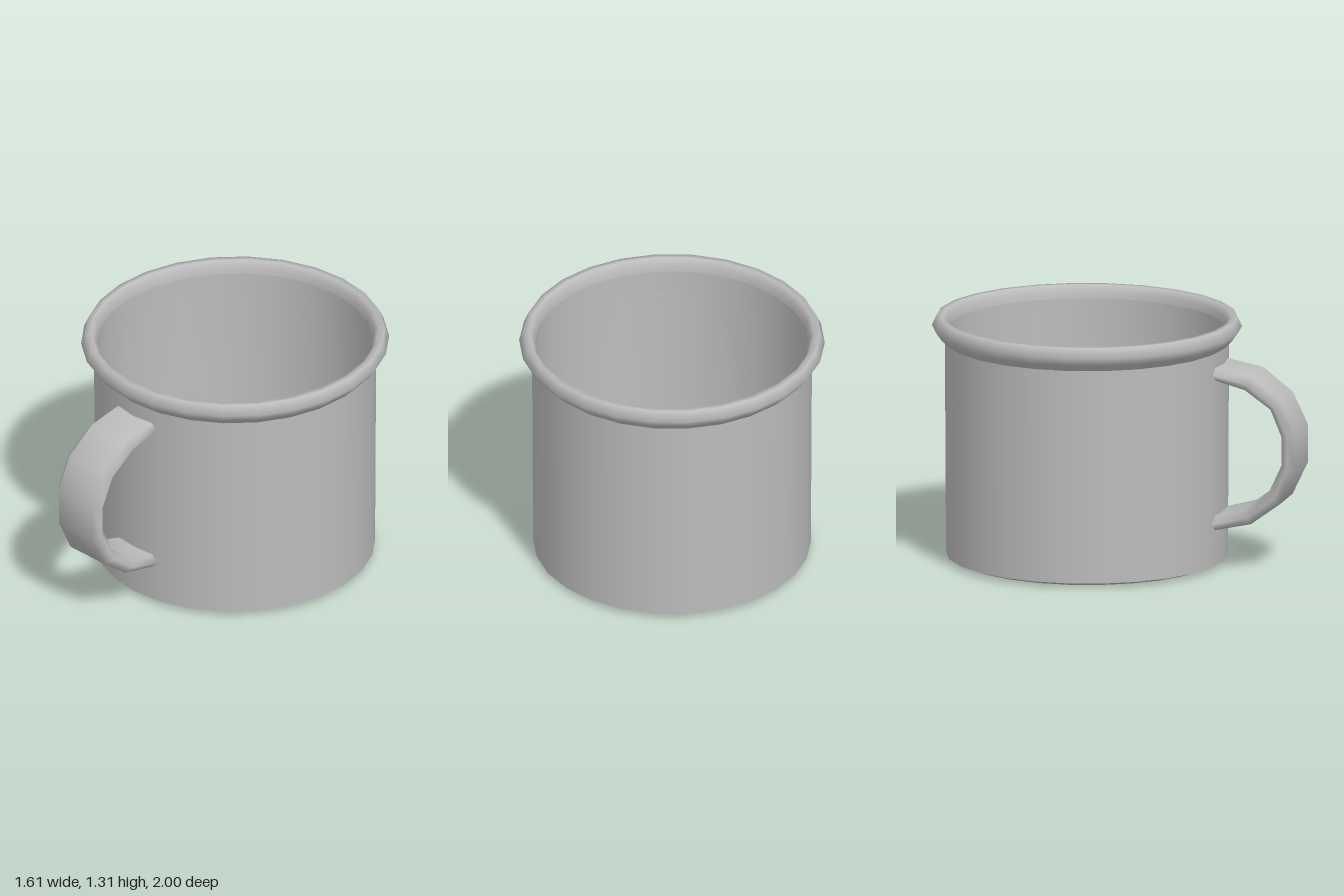
import * as THREE from 'three';

const SIDES = 26;
const CENTRE_Z = -0.178;

// Smooth ring of revolution from [radius, height] pairs
function turned(name, profile, material) {
  const points = profile.map(([r, y]) => new THREE.Vector2(r, y));
  const mesh = new THREE.Mesh(new THREE.LatheGeometry(points, SIDES), material);
  mesh.name = name;
  return mesh;
}

// Flat strap with bevelled edges, swept down the side of the cup
function strapGeometry() {
  // Each station: outer z, outer y, inner z, inner y
  const stations = [
    [0.55, 1.098, 0.55, 1.03],
    [0.753, 1.06, 0.72, 0.985],
    [0.917, 0.933, 0.86, 0.887],
    [1.0, 0.76, 0.92, 0.743],
    [1.0, 0.56, 0.92, 0.587],
    [0.915, 0.38, 0.85, 0.437],
    [0.753, 0.26, 0.72, 0.338],
    [0.55, 0.215, 0.55, 0.29],
  ];
  // Cross-section: x, and how far from the outer to the inner face
  const section = [
    [0.125, 0], [0.166, 0.5], [0.125, 1],
    [-0.125, 1], [-0.166, 0.5], [-0.125, 0],
  ];
  const n = section.length;
  const positions = [];
  const index = [];
  stations.forEach(([oz, oy, iz, iy], i) => {
    section.forEach(([x, t], k) => {
      positions.push(x, oy + (iy - oy) * t, oz + (iz - oz) * t);
      if (i === stations.length - 1) return;
      const a = i * n + k;
      const b = i * n + (k + 1) % n;
      index.push(a, b + n, b, a, a + n, b + n);
    });
  });
  const geometry = new THREE.BufferGeometry();
  geometry.setAttribute('position', new THREE.Float32BufferAttribute(positions, 3));
  geometry.setIndex(index);
  geometry.computeVertexNormals();
  return geometry;
}

export function createModel() {
  const model = new THREE.Group();
  model.name = 'mug';
  const enamel = new THREE.MeshStandardMaterial({ color: 0xbcbcbc });
  enamel.name = 'grey enamel';

  // Cup body, slightly narrower across than front to back
  const cup = new THREE.Group();
  cup.name = 'cup';
  cup.position.z = CENTRE_Z;
  cup.scale.x = 0.984;
  cup.add(
    turned('base', [[0, 0], [0.69, 0.002], [0.747, 0.022]], enamel),
    turned('outerWall', [[0.747, 0.022], [0.753, 1.19]], enamel),
    turned('rolledRim', [
      [0.752, 1.175], [0.79, 1.212], [0.822, 1.257], [0.798, 1.31],
      [0.765, 1.31], [0.742, 1.275], [0.738, 1.22],
    ], enamel),
    turned('innerWall', [[0.738, 1.24], [0.735, 0.06], [0.7, 0.03], [0, 0.03]], enamel),
  );
  model.add(cup);

  // Handle
  const handle = new THREE.Mesh(strapGeometry(), enamel);
  handle.name = 'handle';
  model.add(handle);

  return model;
}
